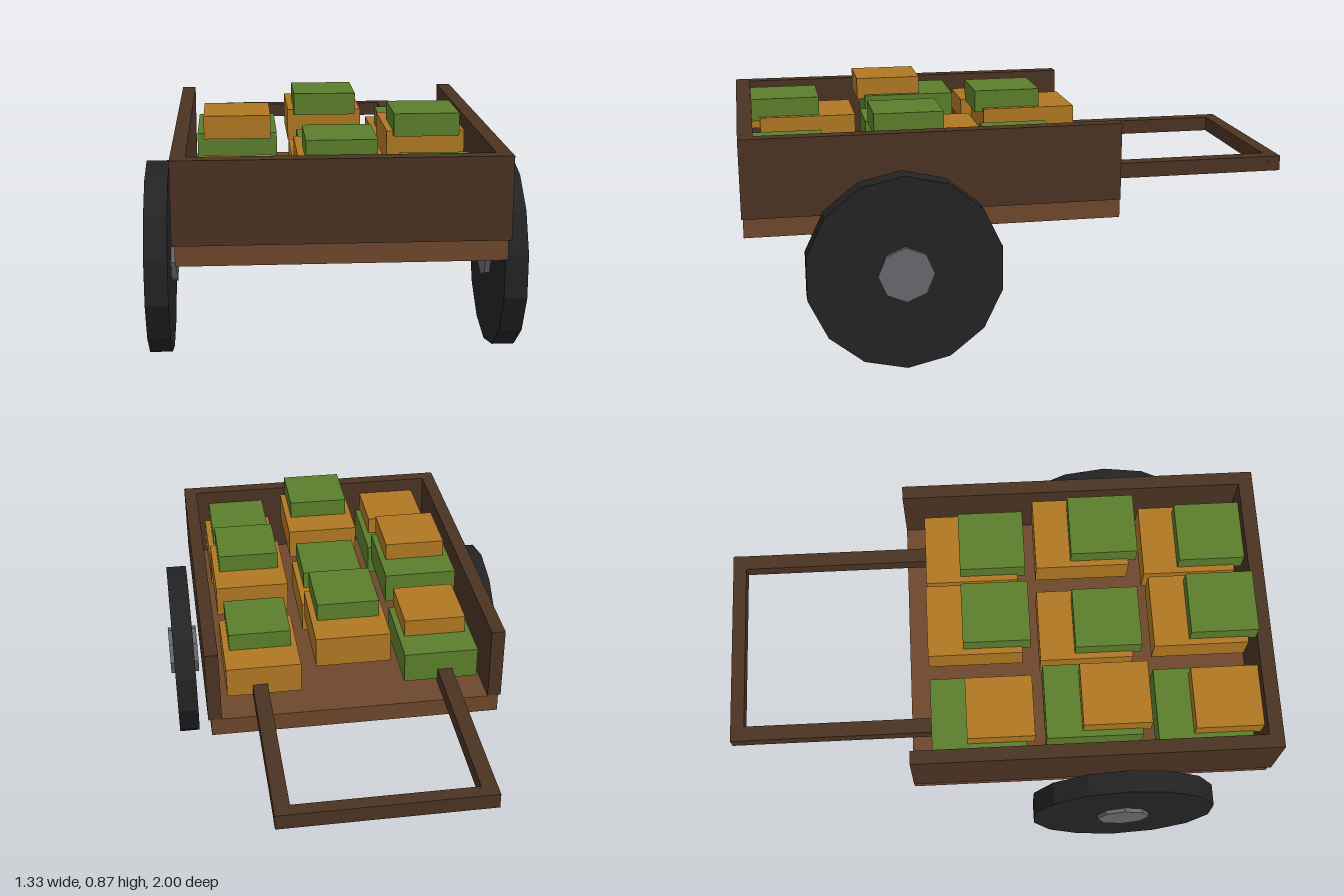
import * as THREE from 'three';

const paint = (name, color) => {
  const m = new THREE.MeshStandardMaterial({ color });
  m.name = name;
  return m;
};

export function createModel() {
  const cart = new THREE.Group();
  cart.name = 'handCart';

  const darkWood = paint('darkWood', 0x4a3322);
  const floorWood = paint('floorWood', 0x6e472c);
  const orange = paint('orangeCrate', 0xb07822);
  const green = paint('greenCrate', 0x5c7f2c);
  const tyre = paint('blackTyre', 0x232323);
  const metal = paint('greyMetal', 0x66686c);
  // many-sided wheels keep their facets
  tyre.flatShading = metal.flatShading = true;

  // box given by its extents on each axis
  const box = (name, material, [x0, x1], [y0, y1], [z0, z1], parent = cart) => {
    const mesh = new THREE.Mesh(new THREE.BoxGeometry(x1 - x0, y1 - y0, z1 - z0), material);
    mesh.position.set((x0 + x1) / 2, (y0 + y1) / 2, (z0 + z1) / 2);
    mesh.name = name;
    parent.add(mesh);
  };
  const around = (c, size) => [c - size / 2, c + size / 2];

  // bed, open at the back
  box('floor', floorWood, [-0.535, 0.535], [0.472, 0.54], [-0.33, 0.995]);
  box('frontWall', darkWood, [-0.545, 0.545], [0.54, 0.818], [0.947, 1]);

  // wheel and hub share one axis along x
  const disc = (name, material, radius, width, sides, x) => {
    const geometry = new THREE.CylinderGeometry(radius, radius, width, sides);
    geometry.rotateY(Math.PI / 2).rotateZ(Math.PI / 2);
    const mesh = new THREE.Mesh(geometry, material);
    mesh.position.set(x, 0.347, 0.455);
    mesh.name = name;
    cart.add(mesh);
  };

  // mirrored parts
  for (const [s, side] of [[1, 'left'], [-1, 'right']]) {
    box(side + 'Wall', darkWood, around(s * 0.52, 0.05), [0.54, 0.818], [-0.33, 0.947]);
    box(side + 'Handle', darkWood, around(s * 0.345, 0.055), [0.57, 0.626], [-0.95, -0.245]);
    disc(side + 'Wheel', tyre, 0.347, 0.08, 14, s * 0.61);
    disc(side + 'Hub', metal, 0.098, 0.115, 8, s * 0.608);
  }
  box('handleBar', darkWood, [-0.373, 0.373], [0.57, 0.626], [-1, -0.95]);

  // cargo: three by three stacks of two crates, every other stack raised
  const cargo = new THREE.Group();
  cargo.name = 'cargo';
  cart.add(cargo);
  for (let col = 0; col < 3; col++) {
    for (let row = 0; row < 3; row++) {
      const x = (col - 1) * 0.33;
      const z = (row - 1) * 0.413;
      const lift = (col + row) % 2 ? 0.1 : 0;
      box('lowerCrate', col ? orange : green, around(x, 0.275),
        [0.585 + lift, 0.7 + lift], around(z + 0.332, 0.345), cargo);
      box('upperCrate', col ? green : orange, around(x, 0.23),
        [0.685 + lift, 0.766 + lift], around(z + 0.411, 0.245), cargo);
    }
  }
  return cart;
}
